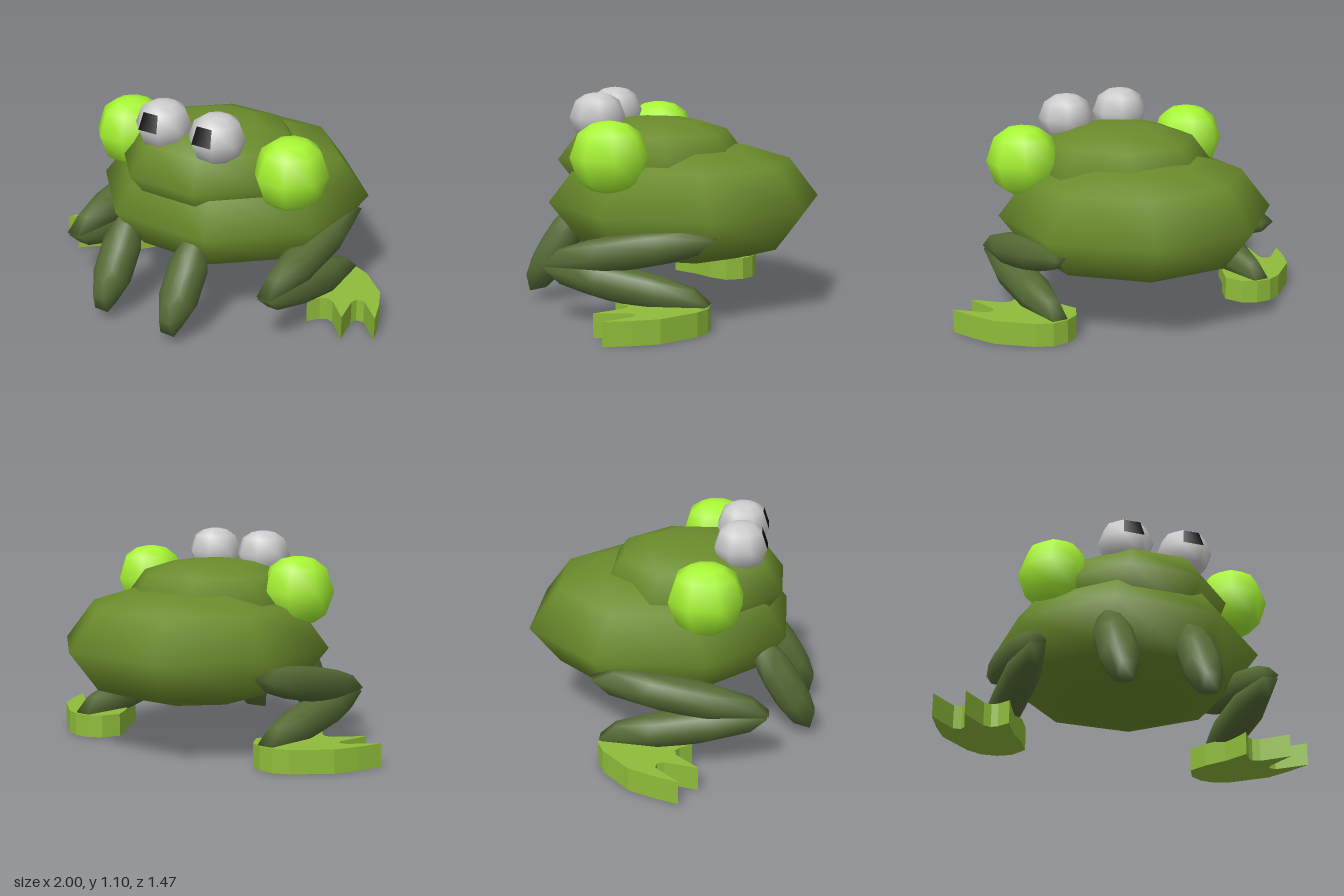
import * as THREE from 'three';

const mat = (color) => new THREE.MeshStandardMaterial({ color });
const skin = mat(0x6b8c2c);
const limbSkin = mat(0x556b35);
const lime = mat(0xa8f535);
const footSkin = mat(0x8fbc3a);
const eyeGrey = mat(0xcccccc);
const black = mat(0x111111);

// Eight-sided ball with flats facing the axes, one unit from centre to each flat
const flat = 1 / Math.cos(Math.PI / 8);
const half = [[0, 1], [0.17, 0.99], [0.46, 0.92], [0.78, 0.68]];
const profile = [
  ...half.map(([r, y]) => [r, -y]),
  [1, 0],
  ...half.slice().reverse(),
].map(([r, y]) => new THREE.Vector2(r * flat, y));
const ballGeo = new THREE.LatheGeometry(profile, 8, Math.PI / 8);

// The front facet just above the ball's equator
const pupilGeo = new THREE.LatheGeometry(
  [new THREE.Vector2(flat, -0.02), new THREE.Vector2(0.78 * flat, 0.68)],
  1, -Math.PI / 8, Math.PI / 4,
);

function ball(name, material, pos, scale, tilt = 0) {
  const m = new THREE.Mesh(ballGeo, material);
  m.name = name;
  m.position.set(...pos);
  m.scale.set(...scale);
  m.rotation.x = tilt;
  return m;
}

// Webbed foot outline as x, z for the +x side: heel, outer edge, three toes
const footOutline = [
  [0.5, -0.29], [0.57, -0.33], [0.65, -0.335], [0.73, -0.3], [0.89, -0.16],
  [0.95, -0.04], [1, 0.09], [0.87, -0.03], [0.83, -0.025], [0.82, 0.01],
  [0.86, 0.175], [0.74, 0.06], [0.7, 0.05], [0.67, 0.07], [0.63, 0.13],
  [0.57, 0], [0.5, -0.1], [0.455, -0.2],
];

function foot(side) {
  const shape = new THREE.Shape(footOutline.map(([x, z]) => new THREE.Vector2(side * x, -z)));
  const geo = new THREE.ExtrudeGeometry(shape, { depth: 0.12, bevelEnabled: false });
  geo.rotateX(-Math.PI / 2);
  const m = new THREE.Mesh(geo, footSkin);
  m.name = side > 0 ? 'leftFoot' : 'rightFoot';
  return m;
}

export function createModel() {
  const g = new THREE.Group();
  g.name = 'frog';

  // Body and head
  g.add(ball('body', skin, [0.035, 0.54, -0.08], [0.655, 0.298, 0.655]));
  g.add(ball('head', skin, [0.035, 0.75, 0.09], [0.455, 0.213, 0.46]));

  for (const side of [-1, 1]) {
    const s = side > 0 ? 'left' : 'right';

    // Round bulbs at the sides of the head
    g.add(ball(s + 'Bulb', lime, [0.057 + side * 0.492, 0.82, 0.18], [0.172, 0.176, 0.18]));

    // Eye with a pupil on its front facet
    const eye = ball(s + 'Eye', eyeGrey, [0.058 + side * 0.162, 0.978, 0.336], [0.134, 0.122, 0.132]);
    const pupil = new THREE.Mesh(pupilGeo, black);
    pupil.name = s + 'Pupil';
    pupil.scale.setScalar(1.012);
    eye.add(pupil);
    g.add(eye);

    // Front leg, reaching down and forward
    g.add(ball(s + 'FrontLeg', limbSkin, [-0.024 + side * 0.211, 0.28, 0.575], [0.1, 0.09, 0.268], 1.03));

    // Folded hind leg
    const x = 0.006 + side * 0.603;
    g.add(ball(s + 'Thigh', limbSkin, [x, 0.37, 0.07], [0.091, 0.088, 0.44], 0.185));
    g.add(ball(s + 'Shin', limbSkin, [x, 0.2, 0.08], [0.091, 0.088, 0.42], -0.175));
    g.add(foot(side));
  }
  return g;
}
